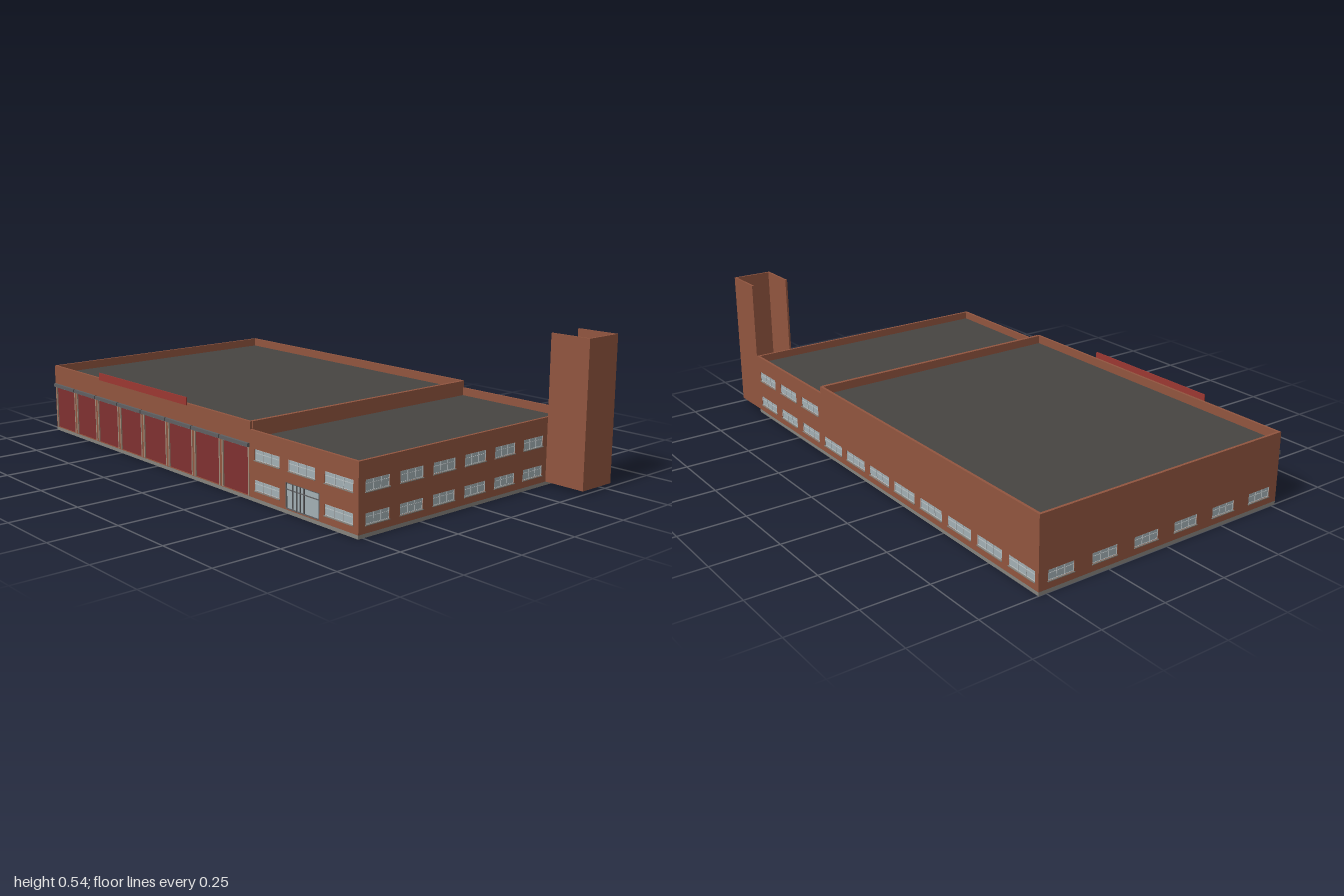
import * as THREE from 'three';

const mat = (color) => new THREE.MeshStandardMaterial({ color });
const brick = mat(0x91553f), roofGrey = mat(0x474542), stone = mat(0x85837d);
const glass = mat(0xa3b0b5), frame = mat(0xb9c0c2), doorRed = mat(0x803030);
const tan = mat(0xa08a78), signRed = mat(0x9c3832), steel = mat(0x5f6062);

const T = 0.01;      // wall thickness
const BASE = 0.013;  // plinth height

// Box given by its min and max corners
function box(parent, name, material, [x0, y0, z0], [x1, y1, z1]) {
  const mesh = new THREE.Mesh(new THREE.BoxGeometry(x1 - x0, y1 - y0, z1 - z0), material);
  mesh.position.set((x0 + x1) / 2, (y0 + y1) / 2, (z0 + z1) / 2);
  mesh.name = name;
  parent.add(mesh);
  return mesh;
}

// Fillings for the wall openings, in the wall's own frame (outer face at z = 0)
function fillWindow(g, { x0, x1, y0, y1 }) {
  box(g, 'windowGlass', glass, [x0, y0, -0.008], [x1, y1, -0.003]);
  const b = 0.002, w = x1 - x0, ym = y0 + (y1 - y0) * 0.62;
  for (const f of [0, 0.34, 0.66, 1]) {
    const x = x0 + f * (w - b);
    box(g, 'windowMullion', frame, [x, y0, -0.008], [x + b, y1, -0.001]);
  }
  for (const y of [y0, ym, y1 - b]) {
    box(g, 'windowRail', frame, [x0, y, -0.008], [x1, y + b, -0.0015]);
  }
  box(g, 'windowSill', stone, [x0 - 0.002, y0 - 0.003, -0.006], [x1 + 0.002, y0, 0.003]);
}

function fillGarage(g, { x0, x1, y0, y1 }) {
  const j = 0.006;
  box(g, 'garageDoor', doorRed, [x0, y0, -0.009], [x1, y1, -0.004]);
  box(g, 'garageJamb', tan, [x0, y0, -0.009], [x0 + j, y1, 0.001]);
  box(g, 'garageJamb', tan, [x1 - j, y0, -0.009], [x1, y1, 0.001]);
  box(g, 'garageLintel', tan, [x0, y1 - 0.004, -0.009], [x1, y1, 0.001]);
  box(g, 'garageCanopy', steel, [x0 - 0.003, y1, -0.002], [x1 + 0.003, y1 + 0.013, 0.01]);
}

function fillEntrance(g, { x0, x1, y0, y1 }) {
  const b = 0.003, w = x1 - x0;
  box(g, 'entranceGlass', glass, [x0, y0, -0.009], [x1, y1, -0.004]);
  for (const f of [0, 0.2, 0.32, 0.42, 0.54, 1]) {
    const x = x0 + f * (w - b);
    box(g, 'entrancePost', steel, [x, y0, -0.009], [x + b, y1, 0]);
  }
  for (const y of [y0, y0 + 0.064, y1 - b]) {
    box(g, 'entranceRail', steel, [x0, y, -0.009], [x1, y + b, -0.001]);
  }
}

// Brick wall with real openings; local x runs along the wall, outside is local +z
function wall(parent, name, width, top, openings, x, z, turn) {
  const g = new THREE.Group();
  g.name = name;
  const rect = (P, x0, x1, y0, y1) => {
    const p = new P();
    p.moveTo(x0, y0); p.lineTo(x1, y0); p.lineTo(x1, y1); p.lineTo(x0, y1); p.closePath();
    return p;
  };
  const shape = rect(THREE.Shape, -width / 2, width / 2, BASE, top);
  for (const o of openings) {
    shape.holes.push(rect(THREE.Path, o.x0, o.x1, o.y0, o.y1));
    o.fill(g, o);
  }
  const geo = new THREE.ExtrudeGeometry(shape, { depth: T, bevelEnabled: false });
  geo.translate(0, 0, -T);
  const mesh = new THREE.Mesh(geo, brick);
  mesh.name = name + 'Brick';
  g.add(mesh);
  g.position.set(x, 0, z);
  g.rotation.y = turn;
  parent.add(g);
}

const opening = (fill, c, w, y0, y1) => ({ fill, x0: c - w / 2, x1: c + w / 2, y0, y1 });
const lower = (c, w) => opening(fillWindow, c, w, 0.04, 0.077);
const upper = (c, w) => opening(fillWindow, c, w, 0.145, 0.183);
const spaced = (n, pitch, mid = 0) =>
  Array.from({ length: n }, (_, i) => mid + (i - (n - 1) / 2) * pitch);

export function createModel() {
  const model = new THREE.Group();
  model.name = 'fireStation';
  const W = -1, M = 0.31, E = 0.84, N = -0.53, S = 0.52;
  const hallTop = 0.272, officeTop = 0.245;
  const hallX = (W + M) / 2, hallW = M - W, offX = (M + E) / 2, offW = E - M;
  const midZ = (N + S) / 2, depth = S - N, bay = hallW / 8;

  // Plinth and roofs
  box(model, 'plinth', stone, [W, 0, N], [E, BASE, S]);
  box(model, 'hallRoof', roofGrey, [W + T / 2, 0.225, N + T / 2], [M - T / 2, 0.24, S - T / 2]);
  box(model, 'officeRoof', roofGrey, [M, 0.2, N + T / 2], [E - T / 2, 0.216, S - T / 2]);

  // Hall: garage doors at the front, low windows behind and at the side
  wall(model, 'hallFront', hallW, hallTop,
    spaced(8, bay).map((c) => opening(fillGarage, c, 0.152, 0.015, 0.185)), hallX, S, 0);
  wall(model, 'hallBack', hallW, hallTop,
    spaced(8, bay).map((c) => lower(c, 0.128)), hallX, N, Math.PI);
  wall(model, 'hallSide', depth, hallTop,
    spaced(6, 0.175).map((c) => lower(c, 0.102)), W, midZ, -Math.PI / 2);
  box(model, 'hallParapet', brick, [M - T, BASE, N + T], [M + 0.004, hallTop, S - T]);

  // Office: two floors of windows and the entrance
  const cols = spaced(3, 0.176);
  wall(model, 'officeFront', offW, officeTop, [
    ...cols.map((c) => upper(c, 0.13)), lower(cols[0], 0.13), lower(cols[2], 0.13),
    opening(fillEntrance, 0.003, 0.165, 0.016, 0.105)], offX, S, 0);
  wall(model, 'officeBack', offW, officeTop,
    cols.flatMap((c) => [upper(c, 0.13), lower(c, 0.13)]), offX, N, Math.PI);
  wall(model, 'officeSide', depth, officeTop,
    spaced(6, 0.148, -0.075).flatMap((c) => [upper(c, 0.102), lower(c, 0.102)]),
    E, midZ, Math.PI / 2);

  // Sign board above the garage doors
  box(model, 'signBoard', signRed, [-0.64, 0.266, S + 0.001], [-0.05, 0.295, S + 0.005]);

  // Hose tower: three walls, open above, below and towards the office
  const tower = new THREE.Group();
  tower.name = 'tower';
  const X = 1, F = -0.374, H = 0.54, t = 0.008;
  box(tower, 'towerBack', brick, [E, BASE, N], [X, H, N + t]);
  box(tower, 'towerFront', brick, [E, BASE, F - t], [X, H, F]);
  box(tower, 'towerSide', brick, [X - t, BASE, N + t], [X, H, F - t]);
  model.add(tower);

  return model;
}
